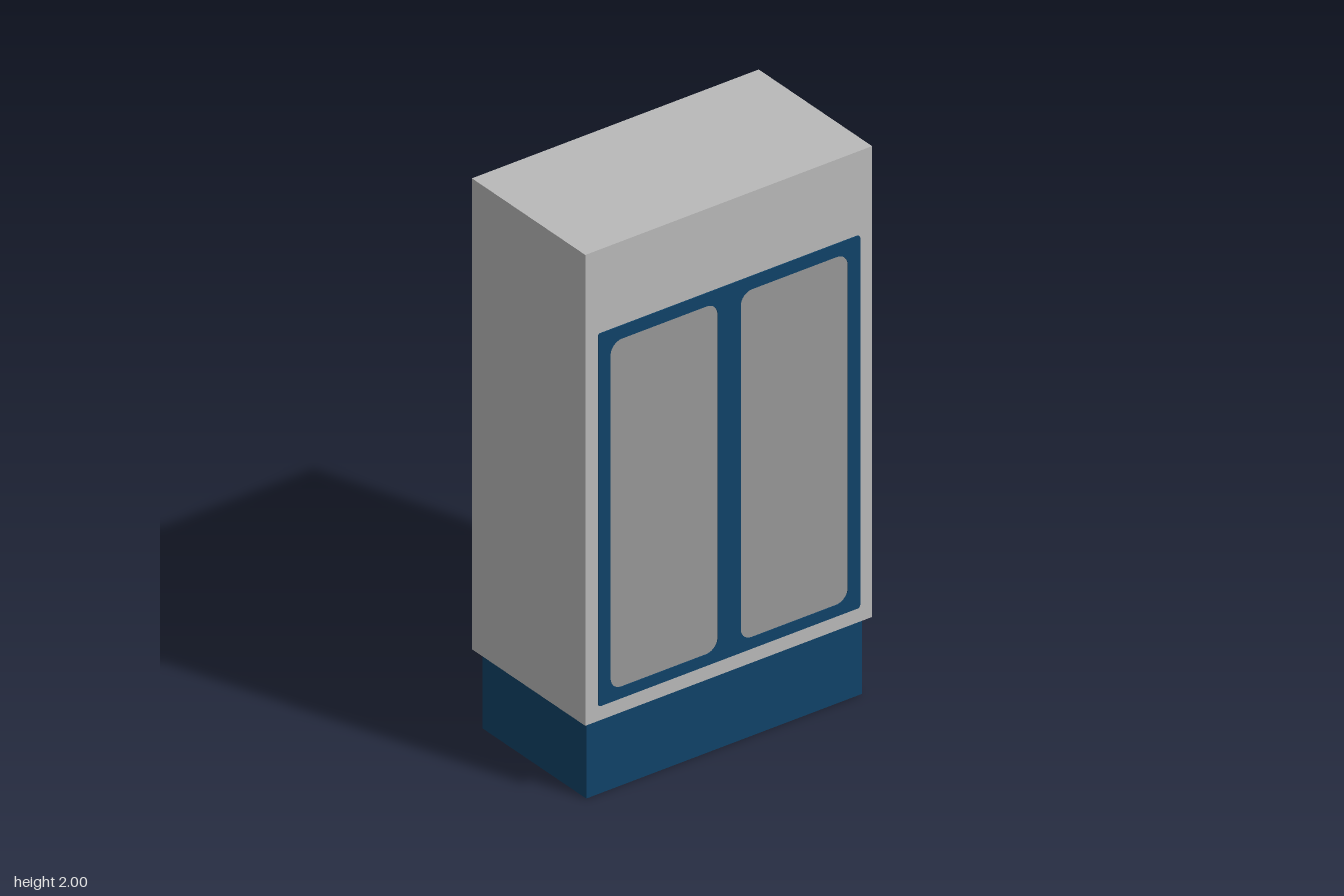
import * as THREE from 'three';

// Rounded rectangle outline, traced onto a Shape or Path
function roundedRect(path, x0, y0, x1, y1, r) {
  path.moveTo(x0 + r, y0);
  path.lineTo(x1 - r, y0);
  path.absarc(x1 - r, y0 + r, r, -Math.PI / 2, 0);
  path.lineTo(x1, y1 - r);
  path.absarc(x1 - r, y1 - r, r, 0, Math.PI / 2);
  path.lineTo(x0 + r, y1);
  path.absarc(x0 + r, y1 - r, r, Math.PI / 2, Math.PI);
  path.lineTo(x0, y0 + r);
  path.absarc(x0 + r, y0 + r, r, Math.PI, Math.PI * 1.5);
  return path;
}

export function createModel() {
  const casing = new THREE.MeshStandardMaterial({ color: 0xb9b9b9 });
  casing.name = 'casingGrey';
  const pane = new THREE.MeshStandardMaterial({ color: 0x979797 });
  pane.name = 'paneGrey';
  const blue = new THREE.MeshStandardMaterial({ color: 0x104268, side: THREE.DoubleSide });
  blue.name = 'trimBlue';

  const model = new THREE.Group();
  model.name = 'cabinet';
  const add = (name, geometry, material, x = 0, y = 0, z = 0) => {
    const mesh = new THREE.Mesh(geometry, material);
    mesh.name = name;
    mesh.position.set(x, y, z);
    model.add(mesh);
  };

  const baseH = 0.284, bodyFront = 0.296, bodyBack = -0.298;

  // Closed cabinet body
  add('body', new THREE.BoxGeometry(1.126, 2 - baseH, bodyFront - bodyBack), casing,
    0, (2 + baseH) / 2, (bodyFront + bodyBack) / 2);

  // Hollow plinth: four thin walls, open underneath
  const halfW = 0.541, halfD = 0.272;
  for (const side of [-1, 1]) {
    const cross = new THREE.PlaneGeometry(halfW * 2, baseH);
    const end = new THREE.PlaneGeometry(halfD * 2, baseH);
    if (side < 0) cross.rotateY(Math.PI);
    end.rotateY(side * Math.PI / 2);
    add(side > 0 ? 'plinthFront' : 'plinthBack', cross, blue, 0, baseH / 2, side * halfD);
    add(side > 0 ? 'plinthLeft' : 'plinthRight', end, blue, side * halfW, baseH / 2, 0);
  }

  // Double door frame with two rounded openings, and a pane behind each
  const frame = roundedRect(new THREE.Shape(), -0.514, 0.337, 0.514, 1.695, 0.01);
  for (const [name, x0, x1] of [['rightPane', -0.466, -0.045], ['leftPane', 0.045, 0.466]]) {
    frame.holes.push(roundedRect(new THREE.Path(), x0, 0.379, x1, 1.647, 0.045));
    const shape = roundedRect(new THREE.Shape(), x0, 0.379, x1, 1.647, 0.045);
    add(name, new THREE.ShapeGeometry(shape), pane, 0, 0, bodyFront + 0.001);
  }
  add('doorFrame', new THREE.ExtrudeGeometry(frame, { depth: 0.004, bevelEnabled: false }), blue,
    0, 0, bodyFront - 0.0005);

  return model;
}
